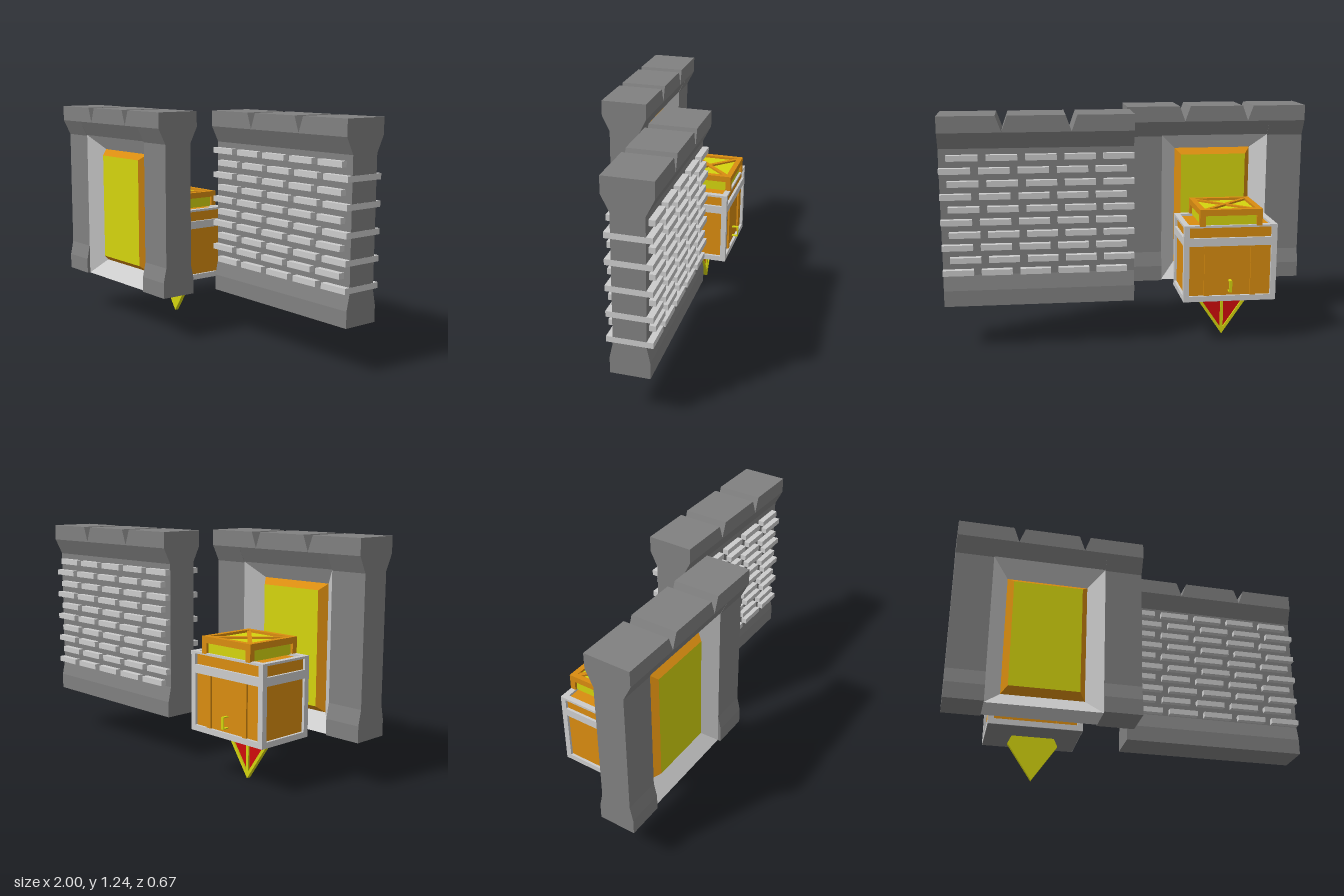
import * as THREE from 'three';

const mat = (name, color) => {
  const m = new THREE.MeshStandardMaterial({ color });
  m.name = name;
  return m;
};

export function createModel() {
  const stone = mat('dark stone', 0x808080);
  const pale = mat('pale stone', 0xcccccc);
  const orange = mat('orange', 0xd98c10);
  const yellow = mat('yellow', 0xd4d40e);
  const red = mat('red', 0xd00c0c);

  const root = new THREE.Group();
  root.name = 'wallSections';

  const group = (name, parent, x = 0, y = 0, z = 0) => {
    const g = new THREE.Group();
    g.name = name;
    g.position.set(x, y, z);
    parent.add(g);
    return g;
  };
  const add = (parent, name, geo, material) => {
    const m = new THREE.Mesh(geo, material);
    m.name = name;
    parent.add(m);
    return m;
  };
  // Box given by its limits on each axis
  const box = (parent, name, material, x0, x1, y0, y1, z0, z1) => {
    const m = add(parent, name, new THREE.BoxGeometry(x1 - x0, y1 - y0, z1 - z0), material);
    m.position.set((x0 + x1) / 2, (y0 + y1) / 2, (z0 + z1) / 2);
    return m;
  };
  const shapeOf = (pts) => new THREE.Shape(pts.map(([x, y]) => new THREE.Vector2(x, y)));
  const extrude = (shape, depth) => new THREE.ExtrudeGeometry(shape, { depth, bevelEnabled: false });

  // Wall cross-section, [half depth, height], swept along x
  const sweep = (parent, name, half, x0, x1) => {
    const pts = [...half, ...half.slice().reverse().map(([d, y]) => [-d, y])];
    const geo = extrude(shapeOf(pts), x1 - x0).rotateY(Math.PI / 2);
    geo.translate(x0, 0, 0);
    return add(parent, name, geo, stone);
  };
  const fullSection = [[0.1, 0.245], [0.1, 0.33], [0.0825, 0.41], [0.0825, 1.075], [0.125, 1.16]];
  const lintelSection = [[0.0825, 1.08], [0.125, 1.16]];

  // Top course with two V notches
  const battlement = (parent) => {
    const pts = [[0, 1.16], [1, 1.16], [1, 1.245]];
    for (const x of [0.677, 0.323]) pts.push([x + 0.03, 1.245], [x, 1.162], [x - 0.03, 1.245]);
    pts.push([0, 1.245]);
    const geo = extrude(shapeOf(pts), 0.25);
    geo.translate(0, 0, -0.125);
    add(parent, 'battlement', geo, stone);
  };

  // Door wall
  const doorWall = group('doorWall', root, -1, 0, 0.21);
  sweep(doorWall, 'pillar', fullSection, 0, 0.2);
  sweep(doorWall, 'pillar', fullSection, 0.8, 1);
  sweep(doorWall, 'lintel', lintelSection, 0.2, 0.8);
  battlement(doorWall);

  // Four sloped faces between two rectangles [half width, y0, y1, z]
  const slopedFrame = (a, b) => {
    const ring = ([w, y0, y1, z]) => [[-w, y0, z], [w, y0, z], [w, y1, z], [-w, y1, z]];
    const o = ring(a), i = ring(b), pos = [];
    for (let k = 0; k < 4; k++) {
      const n = (k + 1) % 4;
      for (const p of [o[k], o[n], i[n], o[k], i[n], i[k]]) pos.push(...p);
    }
    const geo = new THREE.BufferGeometry();
    geo.setAttribute('position', new THREE.Float32BufferAttribute(pos, 3));
    geo.computeVertexNormals();
    return geo;
  };
  // Recessed surround and raised panel, on both sides of the wall
  for (const turn of [0, Math.PI]) {
    const door = group('door', doorWall, 0.5, 0, 0);
    door.rotation.y = turn;
    const outer = [0.3, 0.245, 1.08, 0.0825];
    const inner = [0.216, 0.33, 0.998, 0.004];
    const face = [0.184, 0.363, 0.965, 0.046];
    add(door, 'doorSurround', slopedFrame(outer, inner), pale);
    add(door, 'doorFrame', slopedFrame(inner, face), orange);
    const panel = add(door, 'doorPanel', new THREE.PlaneGeometry(0.368, 0.602), yellow);
    panel.position.set(0, 0.664, 0.046);
  }
  const sill = add(doorWall, 'sillUnderside', new THREE.PlaneGeometry(0.6, 0.165).rotateX(Math.PI / 2), pale);
  sill.position.set(0.5, 0.245, 0);

  // Brick wall
  const brickWall = group('brickWall', root, 0, 0, -0.145);
  sweep(brickWall, 'wallBody', fullSection, 0, 1);
  battlement(brickWall);
  for (let row = 0; row < 10; row++) {
    const y = 1.03 - row * 0.0668;
    for (let i = 0; i < 5; i++) {
      const x = i * 0.2 + (row % 2 ? 0.0405 : 0.0005);
      box(brickWall, 'brick', pale, x, x + 0.16, y - 0.015, y + 0.015, -0.115, 0.115);
    }
  }

  // Crate
  const crate = group('crate', root, -0.505, 0, -0.145);
  const W = 0.25, D = 0.166, T = 0.03;
  box(crate, 'crateBody', orange, -W + 0.014, W - 0.014, 0.25, 0.648, -D + 0.014, D - 0.014);
  box(crate, 'crateBottom', stone, -W + 0.002, W - 0.002, 0.244, 0.252, -D + 0.002, D - 0.002);
  for (const sx of [-1, 1]) for (const sz of [-1, 1]) {
    const post = box(crate, 'cratePost', pale, W - T, W, 0.245, 0.66, D - T, D);
    post.position.x *= sx;
    post.position.z *= sz;
  }
  for (const [y0, y1] of [[0.245, 0.275], [0.548, 0.592], [0.648, 0.66]]) {
    for (const s of [-1, 1]) {
      box(crate, 'crateRail', pale, -W + T, W - T, y0, y1, -T / 2, T / 2).position.z = s * (D - T / 2);
      box(crate, 'crateRail', pale, -T / 2, T / 2, y0, y1, -D + T, D - T).position.x = s * (W - T / 2);
    }
  }
  // Vertical slats on the long sides
  for (const sx of [-1, 1]) for (const sz of [-1, 1]) {
    box(crate, 'crateSlat', orange, sx * 0.125 - 0.014, sx * 0.125 + 0.014, 0.275, 0.548, -0.006, 0.006)
      .position.z = sz * (D - 0.01);
  }

  // Lid cage with a yellow core and crossed braces
  const lid = group('crateLid', crate);
  const L = 0.167;
  box(lid, 'lidCore', yellow, -L + 0.014, L - 0.014, 0.655, 0.732, -L + 0.014, L - 0.014);
  for (const sx of [-1, 1]) {
    for (const sz of [-1, 1]) {
      const post = box(lid, 'lidPost', orange, L - T, L, 0.655, 0.745, L - T, L);
      post.position.x *= sx;
      post.position.z *= sz;
    }
    box(lid, 'lidRail', orange, -L + T, L - T, 0.712, 0.745, -T / 2, T / 2).position.z = sx * (L - T / 2);
    box(lid, 'lidRail', orange, -T / 2, T / 2, 0.712, 0.745, -L + T, L - T).position.x = sx * (L - T / 2);
    box(lid, 'lidBrace', orange, -0.19, 0.19, 0.73, 0.742, -0.011, 0.011).rotation.y = sx * Math.PI / 4;
  }

  // Handle loop on the back
  const handle = group('handle', crate, 0, 0, -D);
  box(handle, 'handleGrip', yellow, -0.008, 0.008, 0.298, 0.361, -0.022, -0.017);
  for (const y of [0.298, 0.356]) box(handle, 'handleArm', yellow, -0.008, 0.008, y, y + 0.005, -0.017, 0.015);

  // Pointed pennant below the crate
  const pennant = group('pennant', crate, 0.005, 0, 0);
  const outline = [[0, 0.003], [0.134, 0.2], [0.113, 0.246], [-0.113, 0.246], [-0.134, 0.2]];
  const scaled = outline.map(([x, y]) => [x * 0.8, 0.145 + (y - 0.145) * 0.8]);
  const plate = add(pennant, 'pennantPlate', extrude(shapeOf(outline), 0.008), yellow);
  plate.position.z = 0.011;
  const rimShape = shapeOf(outline);
  rimShape.holes.push(shapeOf(scaled));
  const rim = add(pennant, 'pennantRim', extrude(rimShape, 0.015), yellow);
  rim.position.z = -0.004;
  const field = add(pennant, 'pennantField', extrude(shapeOf(scaled), 0.006), red);
  field.position.z = 0.006;
  box(pennant, 'pennantBar', yellow, -0.008, 0.008, 0.03, 0.235, -0.004, 0.008);
  box(pennant, 'pennantBar', yellow, -0.115, 0.115, 0.192, 0.207, -0.003, 0.008);

  return root;
}
